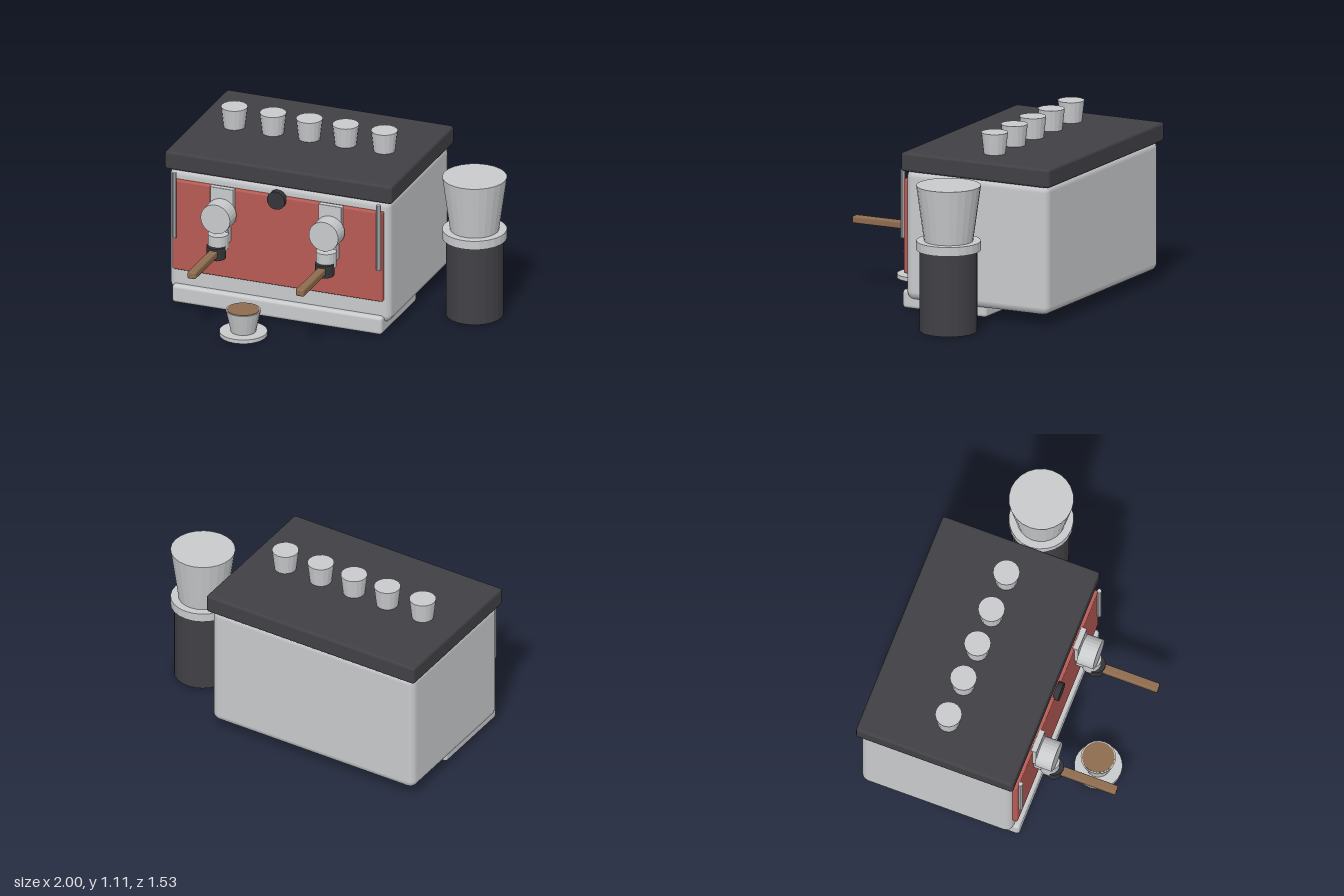
import * as THREE from 'three';
import { RoundedBoxGeometry } from 'three/addons/geometries/RoundedBoxGeometry.js';

const material = (name, color) => {
  const m = new THREE.MeshStandardMaterial({ color });
  m.name = name;
  return m;
};

export function createModel() {
  const model = new THREE.Group();
  model.name = 'coffeeStation';
  const steel = material('steel', 0xc8cacc);
  const charcoal = material('charcoal', 0x414045);
  const black = material('black', 0x343538);
  const red = material('red', 0xb85a54);
  const wood = material('wood', 0x8f6c4f);

  const add = (name, geo, mat, x, y, z, parent = model) => {
    const mesh = new THREE.Mesh(geo, mat);
    mesh.name = name;
    mesh.position.set(x, y, z);
    parent.add(mesh);
    return mesh;
  };
  // Box given by its min and max corners, with rounded edges
  const box = (name, mat, [x0, y0, z0], [x1, y1, z1], r, parent) =>
    add(name, new RoundedBoxGeometry(x1 - x0, y1 - y0, z1 - z0, 2, r), mat,
      (x0 + x1) / 2, (y0 + y1) / 2, (z0 + z1) / 2, parent);
  // Faceted upright cylinder or cone from y0 to y1
  const round = (name, mat, rTop, rBottom, y0, y1, x, z, sides = 20, parent = model) => {
    const geo = new THREE.CylinderGeometry(rTop, rBottom, y1 - y0, sides).toNonIndexed();
    geo.computeVertexNormals();
    return add(name, geo, mat, x, (y0 + y1) / 2, z, parent);
  };
  // Faceted cylinder pointing forward from z0 to z1
  const forward = (name, mat, r, z0, z1, x, y, sides, parent = model) => {
    const geo = new THREE.CylinderGeometry(r, r, z1 - z0, sides).toNonIndexed();
    geo.computeVertexNormals();
    geo.rotateX(Math.PI / 2);
    return add(name, geo, mat, x, y, (z0 + z1) / 2, parent);
  };

  // Machine housing
  const cx = -0.265;
  box('body', steel, [-0.98, 0.065, -0.745], [0.45, 0.87, 0.225], 0.05);
  box('lid', charcoal, [-1, 0.858, -0.768], [0.47, 0.975, 0.242], 0.018);
  box('frontPanel', red, [-0.945, 0.217, 0.2], [0.413, 0.8, 0.252], 0.01);
  box('dripTray', steel, [-0.945, 0.003, -0.31], [0.413, 0.117, 0.262], 0.02);
  forward('knob', black, 0.058, 0.24, 0.276, cx, 0.782, 20);

  // Steam wands at both ends of the panel
  for (const side of [-1, 1]) {
    round('steamWand', steel, 0.014, 0.014, 0.432, 0.855, cx + side * 0.66, 0.265, 10);
  }

  // Two brew groups with portafilters
  for (const side of [-1, 1]) {
    const group = new THREE.Group();
    group.name = 'brewGroup';
    group.position.x = cx + side * 0.35;
    model.add(group);
    box('mount', steel, [-0.075, 0.6, 0.24], [0.075, 0.807, 0.277], 0.004, group);
    box('mountFoot', steel, [-0.05, 0.46, 0.24], [0.05, 0.61, 0.3], 0.004, group);
    forward('groupHead', steel, 0.095, 0.274, 0.38, 0, 0.645, 24, group);
    round('spout', steel, 0.062, 0.062, 0.44, 0.535, 0, 0.333, 18, group);
    round('portafilter', black, 0.059, 0.059, 0.39, 0.467, 0, 0.362, 16, group);
    box('handle', wood, [-0.027, 0.409, 0.39], [0.027, 0.454, 0.765], 0.01, group);
  }

  // Cups standing on the lid
  for (const x of [-0.75, -0.5, cx, -0.03, 0.22]) {
    round('cup', steel, 0.081, 0.066, 0.972, 1.105, x, -0.265, 16);
  }

  // Grinder
  round('grinderBase', charcoal, 0.174, 0.174, 0, 0.505, 0.803, -0.265, 24);
  round('grinderCollar', steel, 0.195, 0.195, 0.5, 0.556, 0.803, -0.265, 24);
  round('grinderHopper', steel, 0.195, 0.147, 0.55, 0.896, 0.803, -0.265, 24);

  // Filled cup on a saucer
  round('saucer', steel, 0.145, 0.145, 0.003, 0.028, -0.365, 0.55, 24);
  round('servedCup', steel, 0.106, 0.076, 0.025, 0.165, -0.365, 0.55, 20);
  round('coffee', wood, 0.098, 0.098, 0.162, 0.168, -0.365, 0.55, 20);

  return model;
}
